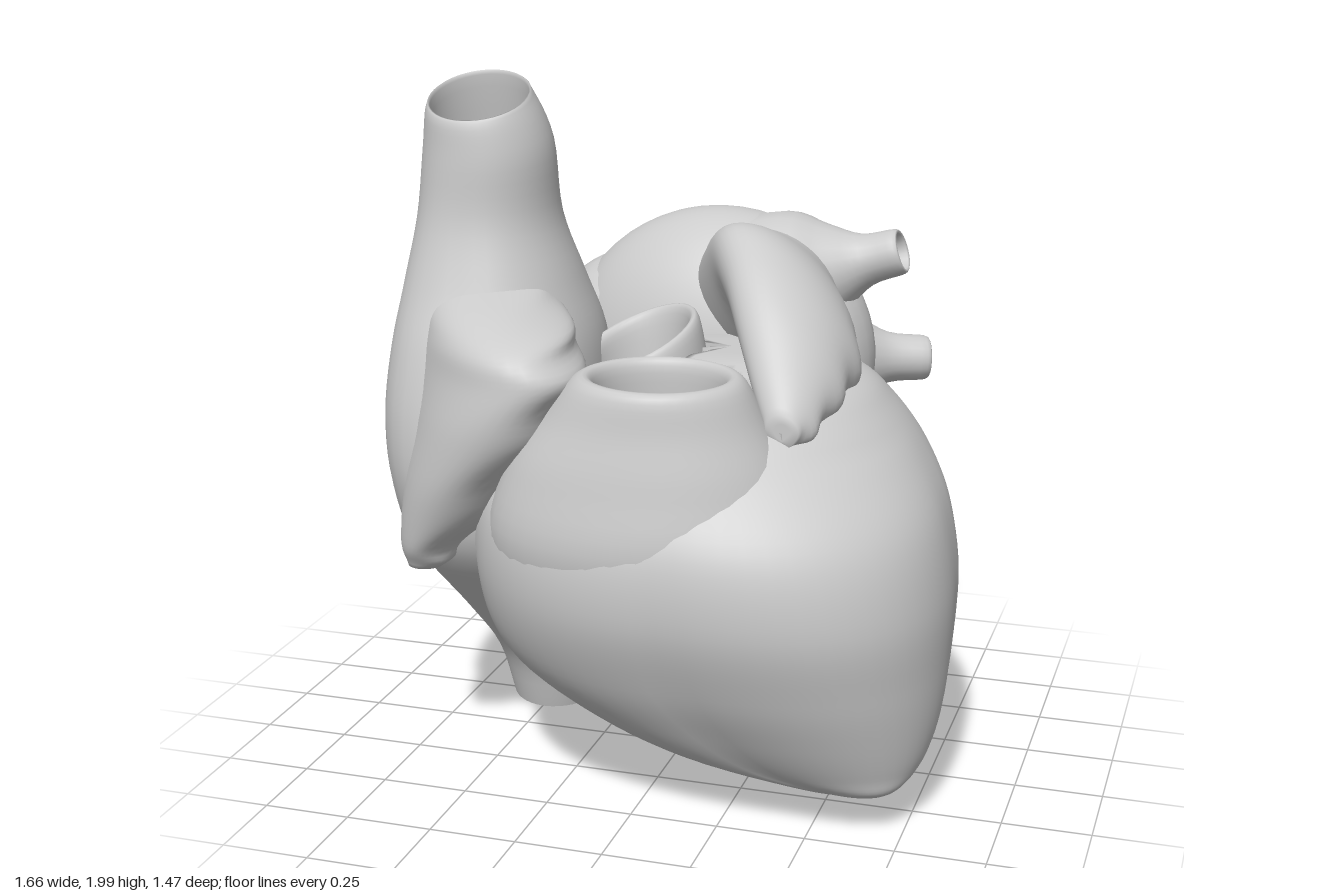
import * as THREE from 'three';

const V = (x, y, z) => new THREE.Vector3(x, y, z);
const material = new THREE.MeshStandardMaterial({ color: 0xcccccc, side: THREE.DoubleSide });

// Smooth skin through elliptical sections { c: centre, u, v: half axes }
function loft(sections, { sides = 40, steps = 5, capStart = false, capEnd = false, rule = null } = {}) {
  const [c, u, v] = ['c', 'u', 'v'].map(
    (k) => new THREE.CatmullRomCurve3(sections.map((s) => s[k]), false, 'catmullrom', 0.5));
  const rows = (sections.length - 1) * steps;
  const pos = [], index = [];
  const ring = (t, scale) => {
    const cc = c.getPoint(t), uu = u.getPoint(t), vv = v.getPoint(t);
    for (let j = 0; j < sides; j++) {
      const a = (j / sides) * Math.PI * 2;
      const p = cc.clone().addScaledVector(uu, Math.cos(a) * scale).addScaledVector(vv, Math.sin(a) * scale);
      if (rule) rule(p, a, t);
      pos.push(p.x, p.y, p.z);
    }
  };
  if (capStart) { ring(0, 0.001); ring(0, 0.5); }
  for (let i = 0; i <= rows; i++) ring(i / rows, 1);
  if (capEnd) { ring(1, 0.5); ring(1, 0.001); }
  const count = pos.length / 3 / sides;
  for (let i = 0; i < count - 1; i++) {
    for (let j = 0; j < sides; j++) {
      const a = i * sides + j, b = i * sides + ((j + 1) % sides);
      index.push(a, a + sides, b, b, a + sides, b + sides);
    }
  }
  const g = new THREE.BufferGeometry();
  g.setAttribute('position', new THREE.Float32BufferAttribute(pos, 3));
  g.setIndex(index);
  g.computeVertexNormals();
  return g;
}

// Level section from its extents; the tilts raise the +z and +x sides
const level = ([y, x0, x1, z0, z1, tiltZ = 0, tiltX = 0]) => ({
  c: V((x0 + x1) / 2, y, (z0 + z1) / 2),
  u: V((x1 - x0) / 2, tiltX, 0),
  v: V(0, tiltZ, (z1 - z0) / 2),
});

// Level section turned about y: centre, half length, half width, angle
const turned = ([y, x, z, a, b, f]) => ({
  c: V(x, y, z),
  u: V(Math.cos(f) * b, 0, -Math.sin(f) * b),
  v: V(Math.sin(f) * a, 0, Math.cos(f) * a),
});

// Widely flared open vessel with a thin lip, from root to tip
function vessel(root, tip, r0, r1) {
  const d = tip.clone().sub(root).normalize();
  const u = V(0, 1, 0).cross(d).normalize(), v = u.clone().cross(d);
  const profile = [[0, r0], [0.45, r0 * 0.9], [0.65, r0 * 0.6], [0.82, r1 * 1.15],
    [1, r1], [0.99, r1 * 0.75], [0.75, r1 * 0.7]];
  return loft(profile.map(([t, r]) => ({
    c: root.clone().lerp(tip, t), u: u.clone().multiplyScalar(r), v: v.clone().multiplyScalar(r),
  })), { sides: 20, steps: 4, capEnd: true });
}

export function createModel() {
  const group = new THREE.Group();
  const add = (name, geometry) => {
    const mesh = new THREE.Mesh(geometry, material);
    mesh.name = name;
    group.add(mesh);
    return mesh;
  };

  // Ventricles: a ridge runs to the front left apex; sunk where the two great arteries open
  const shapeVentricles = (p, a, t) => {
    const s = Math.sin(2 * a);
    if (a < Math.PI / 2) {
      const k = s * Math.sin(Math.PI * Math.min(1, t / 0.75));
      p.x += 0.07 * k;
      p.z += 0.05 * k;
    } else if (a < Math.PI) {
      const k = s * Math.sin(Math.PI * t);
      p.x += 0.03 * k;
      p.z -= 0.03 * k;
    }
    if (Math.hypot(p.x - 0.07, p.z - 0.445) < 0.21) p.y = Math.min(p.y, 0.8);
    if (Math.hypot(p.x + 0.1, p.z - 0.08) < 0.17) p.y = Math.min(p.y, 0.85);
  };
  add('ventricles', loft([
    [0.095, 0.54, 0.64, 0.31, 0.39],
    [0.13, 0.36, 0.72, 0.18, 0.46],
    [0.19, -0.01, 0.77, -0.08, 0.51],
    [0.3, -0.28, 0.8, -0.3, 0.58],
    [0.45, -0.47, 0.815, -0.45, 0.66],
    [0.65, -0.53, 0.82, -0.55, 0.73],
    [0.85, -0.52, 0.785, -0.55, 0.725],
    [1.0, -0.45, 0.71, -0.52, 0.64],
    [1.12, -0.35, 0.62, -0.42, 0.52],
    [1.2, -0.25, 0.53, -0.3, 0.38],
    [1.25, -0.05, 0.35, -0.12, 0.15],
  ].map(level), { sides: 72, steps: 6, capStart: true, capEnd: true, rule: shapeVentricles }));

  // Front outlet: outer wall, rim and inner wall
  add('pulmonaryOutlet', loft([
    [0.55, -0.38, 0.4, 0.1, 0.64],
    [0.8, -0.42, 0.47, 0.12, 0.73],
    [1.0, -0.36, 0.43, 0.16, 0.71],
    [1.15, -0.25, 0.36, 0.2, 0.68],
    [1.26, -0.16, 0.3, 0.24, 0.66],
    [1.25, -0.11, 0.25, 0.28, 0.61],
    [1.1, -0.1, 0.24, 0.28, 0.6],
    [0.86, -0.09, 0.23, 0.29, 0.59],
  ].map(level), { capEnd: true }));

  // Aortic root, rim rising to the back left
  add('aorticRoot', loft([
    [0.9, -0.32, 0.12, -0.15, 0.3],
    [1.14, -0.3, 0.09, -0.14, 0.28, -0.02, 0.02],
    [1.26, -0.29, 0.06, -0.13, 0.27, -0.04, 0.05],
    [1.25, -0.26, 0.03, -0.1, 0.24, -0.04, 0.05],
    [1.1, -0.25, 0.03, -0.08, 0.23],
    [0.9, -0.24, 0.02, -0.06, 0.22],
  ].map(level), { capEnd: true }));

  // Great veins running through the right atrium, full along its outer side
  const fillOuter = (p, a, t) => {
    if (a < Math.PI / 2 || a > Math.PI * 1.5) return;
    const s = Math.sin(2 * a) * Math.sin(Math.PI * Math.min(1, t * 1.25)) ** 2;
    p.x -= 0.03 * Math.abs(s);
    p.z -= 0.05 * s;
  };
  add('rightAtriumAndCavae', loft([
    [0.025, -0.64, -0.35, -0.44, -0.13, -0.02],
    [0.2, -0.67, -0.32, -0.43, -0.06],
    [0.4, -0.71, -0.3, -0.42, 0.12],
    [0.65, -0.775, -0.26, -0.42, 0.36],
    [0.85, -0.815, -0.24, -0.42, 0.42],
    [1.05, -0.825, -0.24, -0.4, 0.42],
    [1.25, -0.81, -0.25, -0.34, 0.38],
    [1.42, -0.785, -0.3, -0.25, 0.32],
    [1.6, -0.755, -0.355, -0.17, 0.27],
    [1.8, -0.735, -0.365, -0.11, 0.26, -0.03],
    [1.92, -0.715, -0.405, -0.04, 0.25, -0.05],
    [1.9, -0.7, -0.42, -0.025, 0.235, -0.05],
    [1.5, -0.71, -0.4, -0.12, 0.23],
  ].map(level), { capEnd: true, rule: fillOuter }));

  // Right auricle, a wedge sweeping forward from the atrium to a wavy edge
  add('rightAuricle', loft([
    [0.64, -0.65, 0.38, 0.05, 0.05, 0.1],
    [0.72, -0.625, 0.32, 0.16, 0.11, 0.1],
    [0.9, -0.55, 0.28, 0.28, 0.18, 0.3],
    [1.08, -0.48, 0.28, 0.35, 0.21, 0.5],
    [1.22, -0.45, 0.28, 0.38, 0.21, 0.65],
    [1.31, -0.45, 0.27, 0.35, 0.2, 0.62],
    [1.38, -0.49, 0.2, 0.27, 0.18, 0.6],
    [1.45, -0.55, 0.08, 0.15, 0.13, 0.6],
  ].map(turned), {
    steps: 6, capStart: true, capEnd: true,
    rule: (p, a, t) => { p.x += 0.014 * Math.max(0, Math.cos(a - 1)) ** 3 * Math.sin(t * 34); },
  }));

  // Left atrium
  const atrium = add('leftAtrium', new THREE.SphereGeometry(1, 40, 28));
  atrium.scale.set(0.48, 0.45, 0.31);
  atrium.position.set(-0.01, 1.115, -0.41);
  atrium.rotation.z = 0.2;

  // Four pulmonary veins, flaring into the atrium
  [
    ['leftUpperVein', V(0, 1.3, -0.4), V(0.54, 1.465, -0.39), 0.22],
    ['leftLowerVein', V(0, 1.1, -0.43), V(0.57, 1.08, -0.67), 0.22],
    ['rightUpperVein', V(-0.05, 1.17, -0.4), V(-0.71, 1.2, -0.44), 0.25],
    ['rightLowerVein', V(-0.05, 1.05, -0.43), V(-0.7, 0.92, -0.64), 0.22],
  ].forEach(([name, root, tip, r]) => add(name, vessel(root, tip, r, 0.068)));

  // Left auricle, a leaning flap reaching forward to a tip
  const lean = ([x, y, z, a, b]) => ({ c: V(x, y, z), u: V(a, -a, 0), v: V(-b, -b, 0) });
  add('leftAuricle', loft([
    [0.14, 1.28, -0.4, 0.16, 0.16],
    [0.2, 1.33, -0.2, 0.17, 0.14],
    [0.29, 1.38, -0.02, 0.19, 0.1],
    [0.345, 1.35, 0.12, 0.17, 0.085],
    [0.375, 1.29, 0.25, 0.13, 0.07],
    [0.4, 1.2, 0.37, 0.08, 0.05],
    [0.41, 1.14, 0.45, 0.035, 0.03],
  ].map(lean), {
    steps: 6, capStart: true, capEnd: true,
    rule: (p, a, t) => { p.x += 0.012 * Math.max(0, Math.cos(a)) ** 4 * Math.sin(t * 30); },
  }));

  return group;
}
